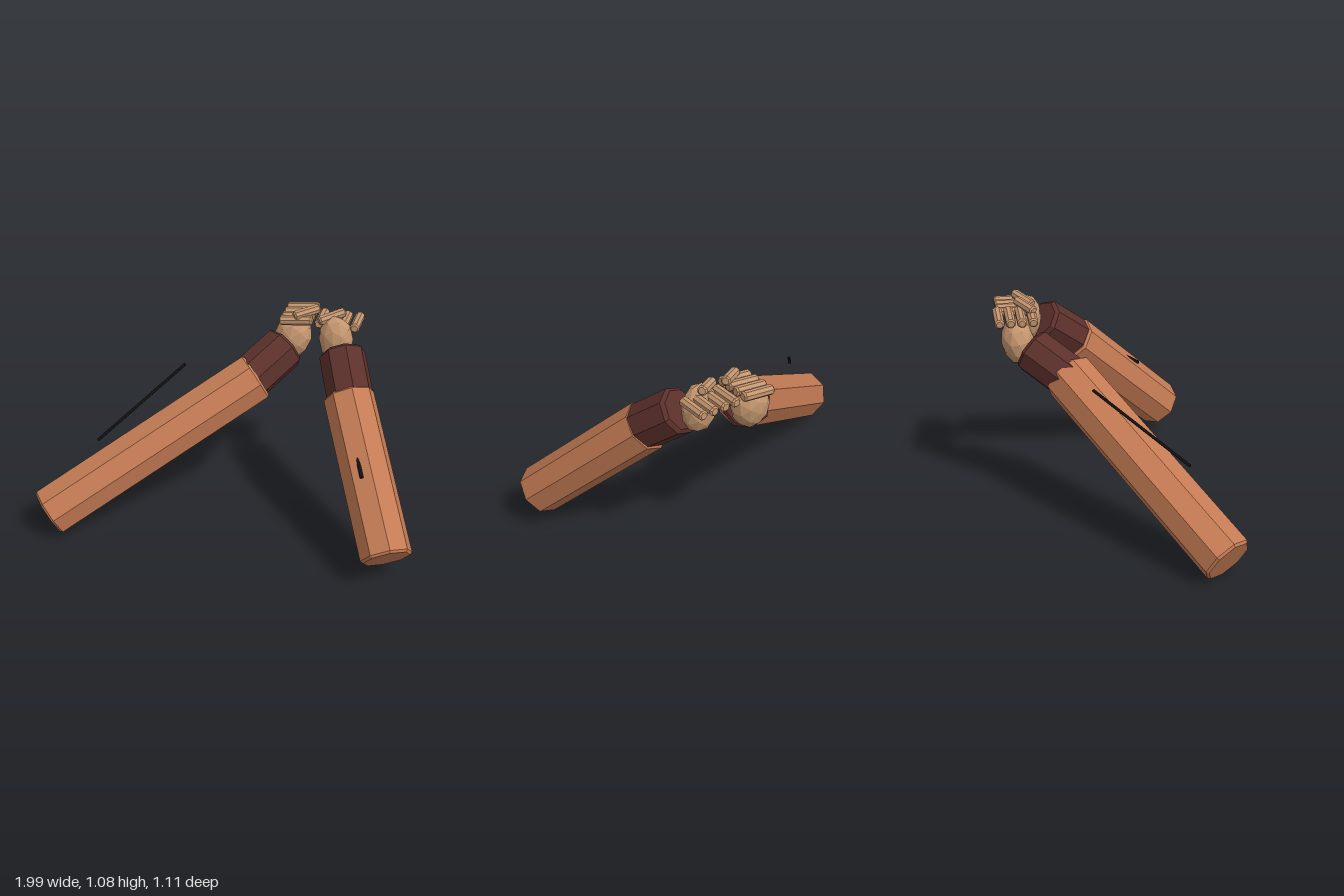
import * as THREE from 'three';

const mat = (color) => new THREE.MeshStandardMaterial({ color, flatShading: true });
const V = (p) => new THREE.Vector3(...p);
const UP = new THREE.Vector3(0, 1, 0);

// Chamfered prism running from point a to point b
function rod(name, a, b, radius, bevel, sides, material) {
  const from = V(a), dir = V(b).sub(from), len = dir.length();
  const profile = [
    [0, 0], [radius - bevel, 0], [radius, bevel],
    [radius, len - bevel], [radius - bevel, len], [0, len],
  ].map(([x, y]) => new THREE.Vector2(x, y));
  const geo = new THREE.LatheGeometry(profile, sides, Math.PI / sides);
  const mesh = new THREE.Mesh(geo, material);
  mesh.name = name;
  mesh.position.copy(from);
  mesh.quaternion.setFromUnitVectors(UP, dir.normalize());
  return mesh;
}

// Faceted egg-shaped palm
function palm(center, radii, rotation, material) {
  const mesh = new THREE.Mesh(new THREE.IcosahedronGeometry(1, 1), material);
  mesh.name = 'palm';
  mesh.position.set(...center);
  mesh.scale.set(...radii);
  mesh.rotation.set(...rotation);
  return mesh;
}

export function createModel() {
  const model = new THREE.Group();
  model.name = 'armPair';
  const sleeve = mat(0xc47b54), cuff = mat(0x5c302b), skin = mat(0xc4966f), black = mat(0x1a1a1c);

  // Long arm on the model's right
  const right = new THREE.Group();
  right.name = 'rightArm';
  right.add(
    rod('rightSleeve', [-0.915, 0.115, 0.44], [0.04, 0.735, -0.2], 0.136, 0.012, 8, sleeve),
    rod('rightCuff', [-0.015, 0.705, -0.155], [0.155, 0.845, -0.375], 0.121, 0.018, 8, cuff),
    palm([0.18, 0.885, -0.44], [0.1, 0.125, 0.085], [-0.15, 0, -0.1], skin),
    rod('rightThumb', [0.2, 1.035, -0.35], [0.32, 1.06, -0.43], 0.026, 0.008, 8, skin),
  );

  // Shorter arm on the model's left
  const left = new THREE.Group();
  left.name = 'leftArm';
  left.add(
    rod('leftSleeve', [0.88, 0.17, 0.46], [0.55, 0.745, -0.11], 0.132, 0.012, 8, sleeve),
    rod('leftCuff', [0.575, 0.715, -0.07], [0.475, 0.89, -0.285], 0.122, 0.018, 8, cuff),
    palm([0.425, 0.925, -0.365], [0.092, 0.13, 0.077], [0, 0, 0.1], skin),
    rod('leftThumb', [0.335, 1.025, -0.345], [0.455, 1.055, -0.43], 0.026, 0.008, 8, skin),
  );

  // Four fingers on each hand
  for (let i = 0; i < 4; i++) {
    const z = -0.535 + i * 0.058, x = 0.33 + i * 0.063;
    right.add(rod('rightFinger', [0.122, 0.997, z], [0.298, 1.017, z], 0.026, 0.008, 8, skin));
    left.add(rod('leftFinger', [x, 0.995, -0.365], [x, 0.995, -0.535], 0.026, 0.008, 8, skin));
  }

  // Thin dark rods beside each sleeve
  right.add(rod('rightThinRod', [-0.673, 0.513, 0.297], [-0.327, 0.795, -0.123], 0.008, 0.002, 8, black));
  left.add(rod('leftThinRod', [0.708, 0.513, 0.298], [0.53, 0.79, -0.08], 0.01, 0.002, 8, black));

  model.add(right, left);
  return model;
}
